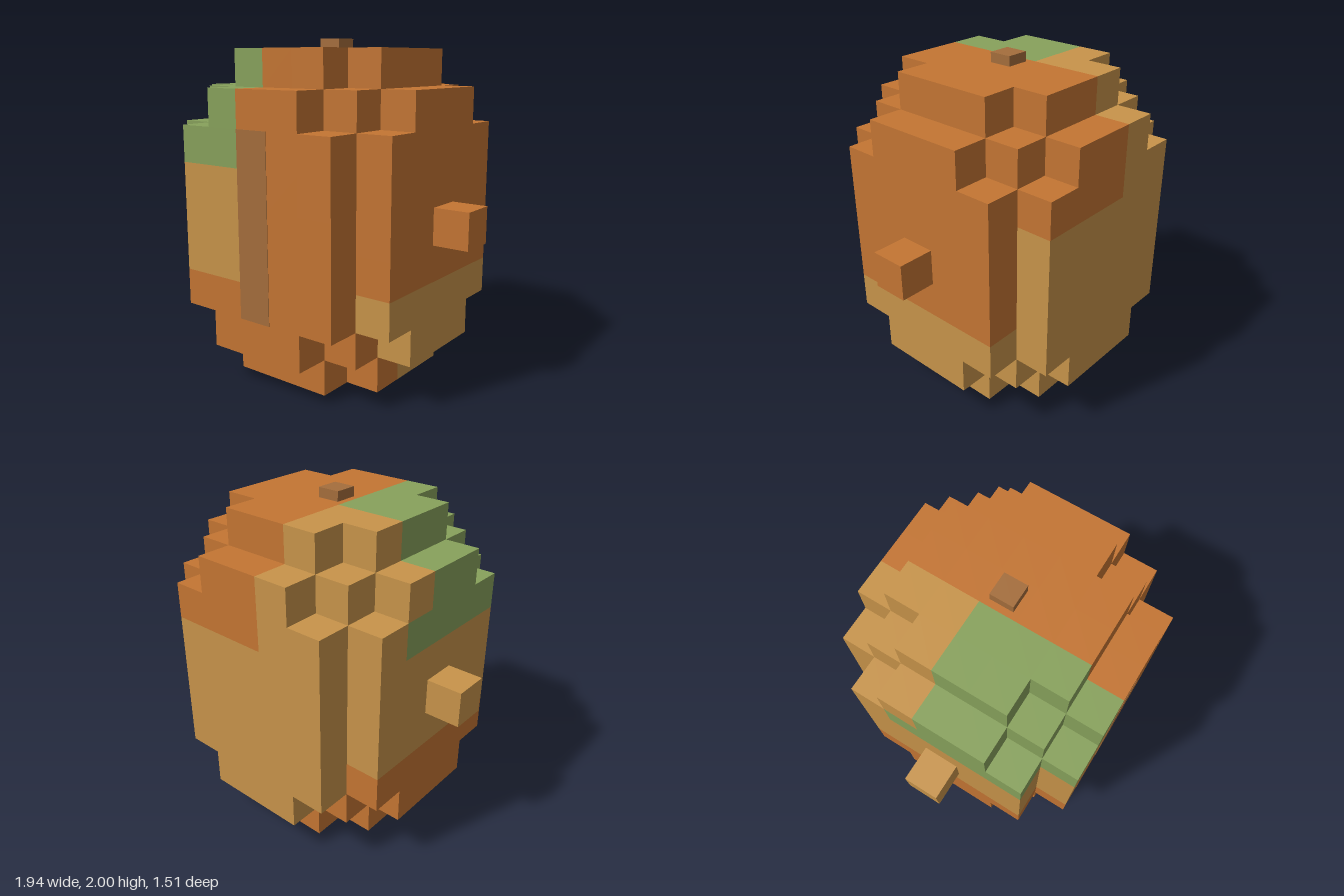
import * as THREE from 'three';
import { mergeGeometries } from 'three/addons/utils/BufferGeometryUtils.js';

const U = 0.2157;            // size of one block
const NX = 7, NY = 9, NZ = 7; // body size in blocks

function material(name, color) {
  const m = new THREE.MeshStandardMaterial({ color });
  m.name = name;
  return m;
}

// Rounded block body: edges are cut back by one block, corners stepped.
function isSolid(i, j, k) {
  const d = [[i, NX], [j, NY], [k, NZ]].map(([v, n]) => Math.min(v, n - 1 - v)).sort((a, b) => a - b);
  if (d[0] < 0) return false;
  if (d[0] === 0 && d[1] === 0) return false;
  return !(d[0] === 0 && d[1] === 1 && d[2] === 1);
}

// Colour patch of each block
function patchOf(i, j, k) {
  if (j >= 6) {
    if (i >= 3) return 'orange';
    return k >= 3 || (j === 6 && k === 2) ? 'green' : 'tan';
  }
  if (k === 0) return 'tan';
  if (j >= 3) return i <= 2 ? 'tan' : 'orange';
  if (i === 6 || (j === 1 && i === 5 && k === 1)) return 'tan';
  return j === 0 && i >= 3 && k <= 3 ? 'tan' : 'orange';
}

// Outward block face looking along the given direction
function blockFace(i, j, k, dir) {
  const normal = new THREE.Vector3(...dir);
  const turn = new THREE.Quaternion().setFromUnitVectors(new THREE.Vector3(0, 0, 1), normal);
  if (dir[2] === -1) turn.setFromAxisAngle(new THREE.Vector3(0, 1, 0), Math.PI);
  const g = new THREE.PlaneGeometry(U, U).applyQuaternion(turn);
  return g.translate(
    (i - 3 + dir[0] / 2) * U,
    (j + 0.5 + dir[1] / 2) * U,
    (k - 3 + dir[2] / 2) * U
  );
}

export function createModel() {
  const group = new THREE.Group();
  group.name = 'blockBody';
  const mats = {
    orange: material('orange', 0xc47533),
    tan: material('tan', 0xc8944a),
    green: material('green', 0x88a25c),
    brown: material('brown', 0xa56e3c),
  };
  const add = (name, geometry, mat, x = 0, y = 0, z = 0) => {
    const mesh = new THREE.Mesh(geometry, mat);
    mesh.name = name;
    mesh.position.set(x, y, z);
    group.add(mesh);
  };

  // Body skin, gathered by colour patch
  const dirs = [[1, 0, 0], [-1, 0, 0], [0, 1, 0], [0, -1, 0], [0, 0, 1], [0, 0, -1]];
  const faces = { orange: [], tan: [], green: [] };
  for (let i = 0; i < NX; i++)
    for (let j = 0; j < NY; j++)
      for (let k = 0; k < NZ; k++) {
        if (!isSolid(i, j, k)) continue;
        for (const d of dirs)
          if (!isSolid(i + d[0], j + d[1], k + d[2])) faces[patchOf(i, j, k)].push(blockFace(i, j, k, d));
      }
  for (const key of Object.keys(faces)) add(key + 'BodyPatch', mergeGeometries(faces[key]), mats[key]);

  // Side knobs
  for (const [name, side, mat] of [['leftKnob', 1, mats.orange], ['rightKnob', -1, mats.tan]])
    add(name, new THREE.BoxGeometry(U, U, U), mat, side * 4 * U, 4.5 * U, 0);

  // Front stripe
  add('frontStripe', new THREE.BoxGeometry(U, 5 * U, 0.004), mats.brown, 0, 4.5 * U, 3.5 * U + 0.001);

  // Stem on top
  const top = NY * U;
  add('stem', new THREE.BoxGeometry(0.14, 2 - top, 0.14), mats.brown, 0, (2 + top) / 2, 0);

  return group;
}
